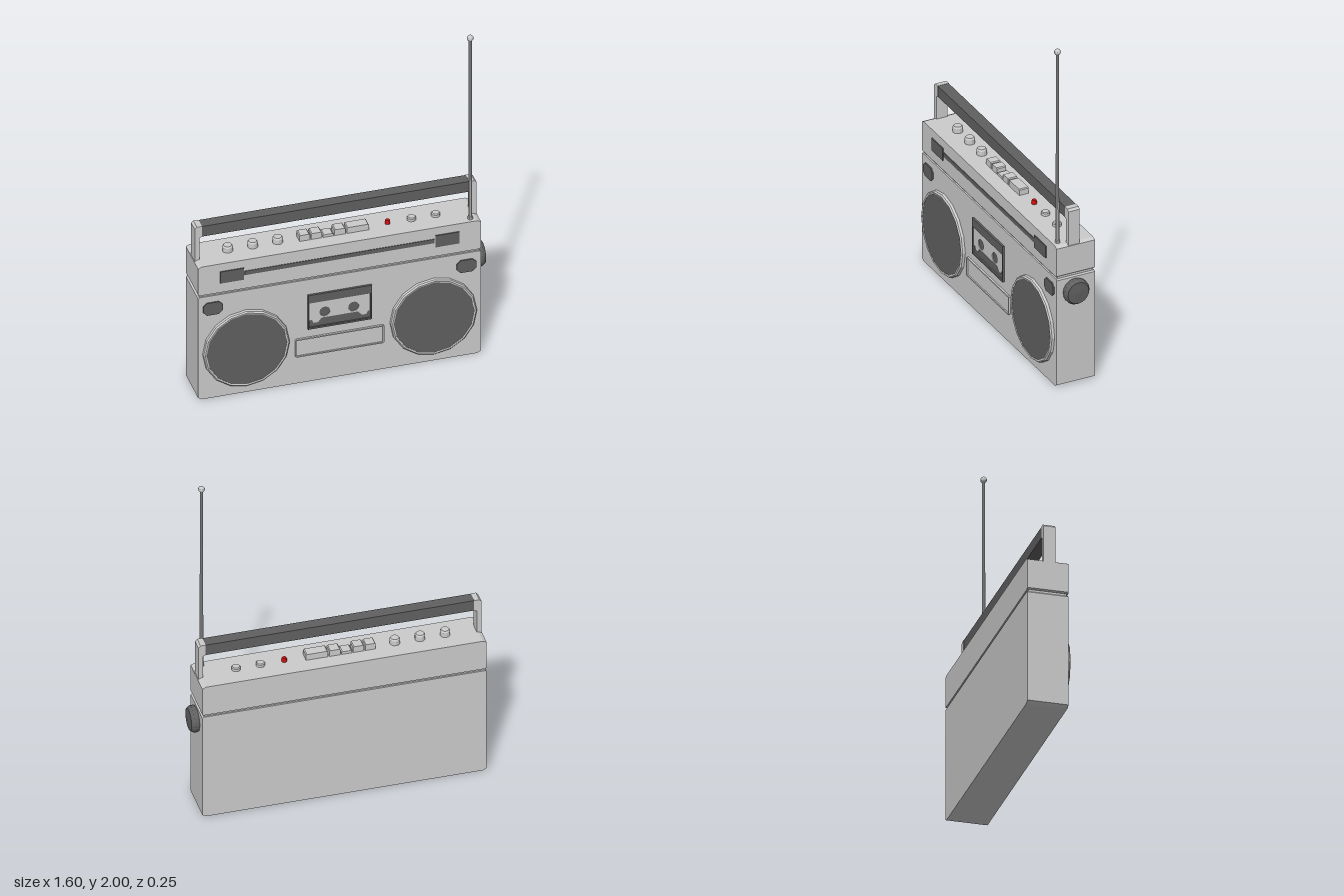
import * as THREE from 'three';

const mat = (color) => new THREE.MeshStandardMaterial({ color, flatShading: true });
const FRONT = 0.1, BACK = -0.125, CX = -0.025;

export function createModel() {
  const root = new THREE.Group();
  const grey = mat(0xcccccc), dark = mat(0x606060), light = mat(0xe8e8e8), red = mat(0xd01010);

  const add = (name, geo, m, x = 0, y = 0, z = 0) => {
    const mesh = new THREE.Mesh(geo, m);
    mesh.name = name;
    mesh.position.set(x, y, z);
    root.add(mesh);
    return mesh;
  };
  // box given by its limits on each axis
  const box = (name, m, x0, x1, y0, y1, z0, z1) =>
    add(name, new THREE.BoxGeometry(x1 - x0, y1 - y0, z1 - z0), m, (x0 + x1) / 2, (y0 + y1) / 2, (z0 + z1) / 2);
  const shapeOf = (pts) => new THREE.Shape(pts.map(([x, y]) => new THREE.Vector2(x, y)));
  // outline in x,y pulled from z0 to z1
  const slab = (name, m, shape, z0, z1) =>
    add(name, new THREE.ExtrudeGeometry(shape, { depth: z1 - z0, bevelEnabled: false, curveSegments: 10 }), m, 0, 0, z0);
  const chamfered = (x0, x1, y0, y1, cx, cy = cx) => shapeOf([
    [x0 + cx, y0], [x1 - cx, y0], [x1, y0 + cy], [x1, y1 - cy],
    [x1 - cx, y1], [x0 + cx, y1], [x0, y1 - cy], [x0, y0 + cy]]);
  const rectHole = (x0, x1, y0, y1) => new THREE.Path(
    [[x0, y0], [x0, y1], [x1, y1], [x1, y0]].map(([x, y]) => new THREE.Vector2(x, y)));

  // case: lower and upper blocks with a groove between them
  const L = -0.8, R = 0.75;
  slab('lowerCase', grey, shapeOf([
    [L + 0.02, 0], [R - 0.02, 0], [R, 0.012], [R, 0.638], [R - 0.008, 0.645],
    [L + 0.008, 0.645], [L, 0.638], [L, 0.012]]), BACK, FRONT);
  box('caseGroove', grey, L + 0.009, R - 0.009, 0.64, 0.665, BACK + 0.009, FRONT - 0.009);
  slab('upperCase', grey, shapeOf([
    [L + 0.008, 0.657], [R - 0.008, 0.657], [R, 0.664], [R, 0.828], [R - 0.02, 0.838],
    [L + 0.02, 0.838], [L, 0.828], [L, 0.664]]), BACK, FRONT);

  // left and right pairs on the front
  for (const s of [-1, 1]) {
    const x = CX + s * 0.513;
    // speaker ring and grille
    const ring = add('speakerRing', new THREE.LatheGeometry(
      [[0.238, 0], [0.236, 0.014], [0.229, 0.021], [0.221, 0.019], [0.218, 0.008]].map(([r, h]) => new THREE.Vector2(r, h)),
      16), grey, x, 0.283, FRONT);
    ring.rotation.x = Math.PI / 2;
    grey.side = THREE.DoubleSide;
    const grille = add('speakerGrille', new THREE.CylinderGeometry(0.221, 0.221, 0.018, 16), dark, x, 0.283, FRONT + 0.009);
    grille.rotation.x = Math.PI / 2;
    // tweeter and upper grille
    const tx = CX + s * 0.695;
    slab('tweeter', dark, chamfered(tx - 0.053, tx + 0.053, 0.528, 0.605, 0.02), FRONT - 0.01, FRONT + 0.007);
    const ux = CX + s * 0.59;
    box('microphoneGrille', dark, ux - 0.065, ux + 0.065, 0.717, 0.79, FRONT - 0.01, FRONT + 0.006);
  }
  box('tuningScale', dark, -0.545, 0.495, 0.743, 0.768, FRONT - 0.01, FRONT + 0.003);

  // cassette bay: frame, back plate and cassette with two reels
  const frame = shapeOf([[-0.2, 0.335], [0.15, 0.335], [0.15, 0.55], [-0.2, 0.55]]);
  frame.holes.push(rectHole(-0.193, 0.143, 0.345, 0.5));
  slab('cassetteFrame', dark, frame, FRONT - 0.01, FRONT + 0.012);
  box('cassetteBayBack', dark, -0.195, 0.145, 0.34, 0.51, FRONT - 0.01, FRONT + 0.003);
  const tape = shapeOf([
    [-0.193, 0.39], [-0.178, 0.39], [-0.17, 0.37], [-0.145, 0.37], [-0.125, 0.395],
    [0.075, 0.395], [0.095, 0.37], [0.12, 0.37], [0.128, 0.39], [0.138, 0.39], [0.138, 0.5], [-0.193, 0.5]]);
  for (const x of [-0.108, 0.05]) {
    const hole = new THREE.Path();
    hole.absarc(x, 0.432, 0.029, 0, Math.PI * 2, true);
    tape.holes.push(hole);
  }
  slab('cassette', light, tape, FRONT, FRONT + 0.007);

  // name plate with a raised rim
  const rim = chamfered(-0.27, 0.217, 0.17, 0.282, 0.006);
  rim.holes.push(rectHole(-0.263, 0.21, 0.177, 0.275));
  slab('plateRim', grey, rim, FRONT - 0.01, FRONT + 0.011);
  box('plate', light, -0.264, 0.211, 0.176, 0.276, FRONT - 0.01, FRONT + 0.004);

  // carrying handle
  const z0 = -0.037, z1 = 0.029;
  for (const s of [-1, 1]) {
    const X = (d) => CX + s * (0.772 - d);
    const pts = [[X(0), 0.81], [X(0), 1.033], [X(0.012), 1.045], [X(0.04), 1.045],
      [X(0.04), 0.98], [X(0.026), 0.975], [X(0.026), 0.81]];
    slab('handleLeg', grey, shapeOf(pts), z0, z1);
  }
  slab('handleGrip', dark, chamfered(-0.76, 0.71, 0.98, 1.044, 0.001), z0 + 0.001, z1 - 0.001);

  // controls along the top
  const TOP = 0.838, ZC = -0.012;
  const knob = (name, m, x, r, h) => add(name, new THREE.LatheGeometry(
    [[r, -0.01], [r, h * 0.75], [r * 0.8, h], [0, h]].map(([a, b]) => new THREE.Vector2(a, b)), 12), m, x, TOP, ZC);
  for (const x of [-0.605, -0.468, -0.331]) knob('volumeKnob', grey, x, 0.028, 0.036);
  for (const x of [0.402, 0.535]) knob('smallKnob', grey, x, 0.024, 0.02);
  knob('recordButton', red, 0.272, 0.014, 0.024);
  for (const [x0, x1, h] of [[-0.22, -0.163, 0.036], [-0.156, -0.097, 0.036], [-0.091, -0.034, 0.016],
    [-0.028, 0.032, 0.036], [0.04, 0.16, 0.036]])
    slab('keyButton', light, chamfered(x0, x1, TOP - 0.02, TOP + h, 0.005), ZC - 0.025, ZC + 0.03);

  // tuning knob on the side
  const dial = add('tuningKnob', new THREE.LatheGeometry(
    [[0.066, -0.01], [0.073, 0.008], [0.073, 0.026], [0.062, 0.042], [0, 0.046]].map(([r, h]) => new THREE.Vector2(r, h)),
    20), dark, R, 0.558, -0.007);
  dial.rotation.z = -Math.PI / 2;

  // aerial
  add('aerialBase', new THREE.CylinderGeometry(0.014, 0.014, 0.02, 10), grey, 0.7, TOP + 0.005, 0.07);
  add('aerialRod', new THREE.CylinderGeometry(0.008, 0.01, 1.15, 10), grey, 0.7, TOP + 0.57, 0.07);
  add('aerialTip', new THREE.SphereGeometry(0.018, 12, 8), grey, 0.7, 1.982, 0.07);

  return root;
}
